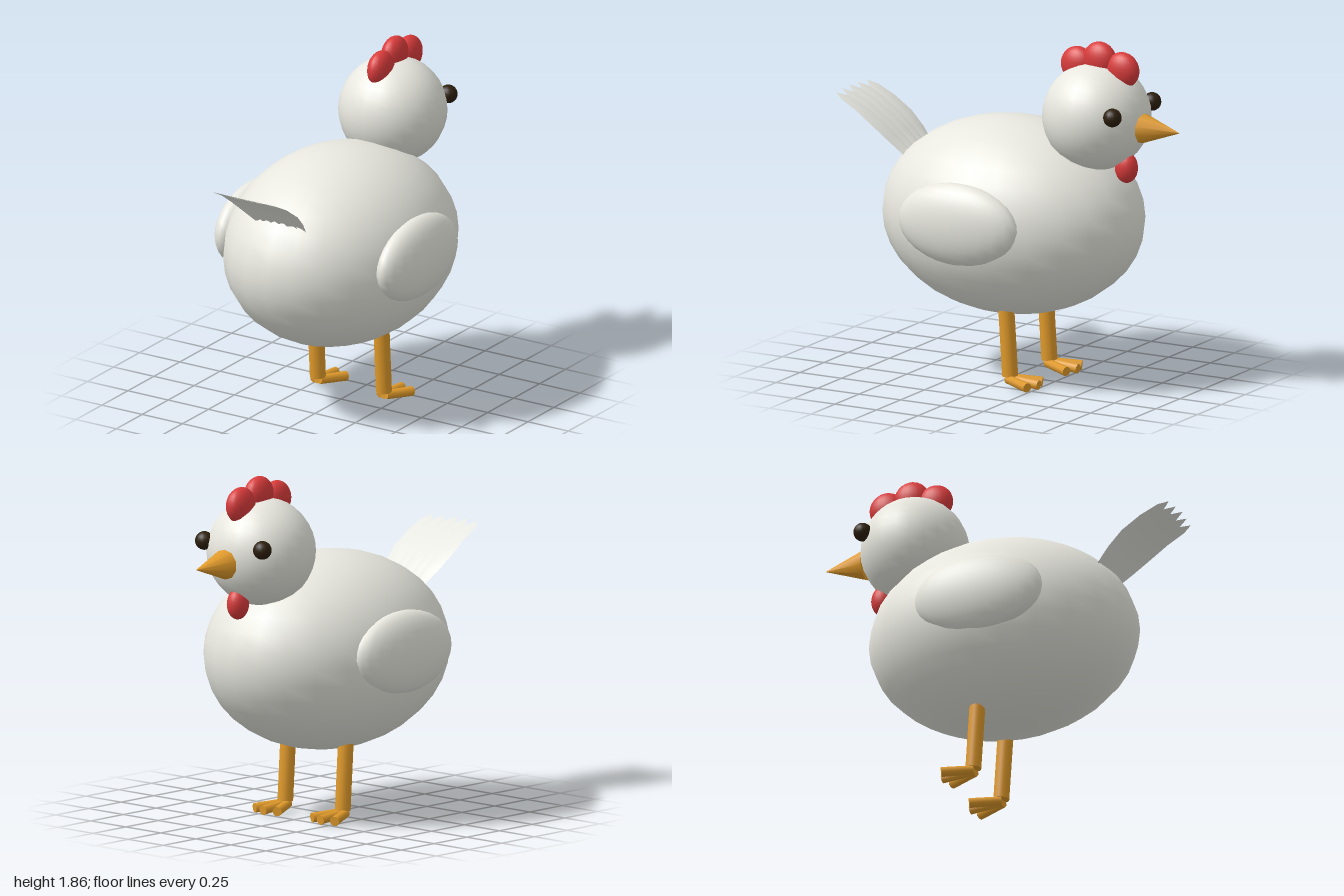
import * as THREE from 'three';

const mat = (name, color, side = THREE.FrontSide) => {
  const m = new THREE.MeshStandardMaterial({ color, side });
  m.name = name;
  return m;
};

export function createModel() {
  const white = mat('feather white', 0xe8e8e0);
  const tailWhite = mat('tail white', 0xe8e8e2, THREE.DoubleSide);
  const red = mat('comb red', 0xd93b3b);
  const orange = mat('beak orange', 0xe09a2a);
  const dark = mat('eye brown', 0x2c1e0c);

  const model = new THREE.Group();
  model.name = 'chicken';

  const add = (name, geometry, material) => {
    const mesh = new THREE.Mesh(geometry, material);
    mesh.name = name;
    model.add(mesh);
    return mesh;
  };
  const ellipsoid = (name, material, [x, y, z], [rx, ry, rz], w = 20, h = 14) => {
    const mesh = add(name, new THREE.SphereGeometry(1, w, h), material);
    mesh.position.set(x, y, z);
    mesh.scale.set(rx, ry, rz);
    return mesh;
  };
  // tapered round bar between two points
  const bar = (name, a, b, ra, rb, sides) => {
    const from = new THREE.Vector3(...a), to = new THREE.Vector3(...b);
    const dir = to.clone().sub(from);
    const mesh = add(name, new THREE.CylinderGeometry(rb, ra, dir.length(), sides), orange);
    mesh.position.copy(from).add(to).multiplyScalar(0.5);
    mesh.quaternion.setFromUnitVectors(new THREE.Vector3(0, 1, 0), dir.normalize());
  };

  // body and head, facing -z
  ellipsoid('body', white, [0, 0.88, 0], [0.565, 0.522, 0.727], 24, 18);
  ellipsoid('head', white, [0, 1.468, -0.5], [0.286, 0.286, 0.286], 24, 18);

  // comb and wattle
  for (const [y, z] of [[1.73, -0.385], [1.77, -0.518], [1.73, -0.655]])
    ellipsoid('comb', red, [0, y, z], [0.06, 0.096, 0.096]);
  ellipsoid('wattle', red, [0, 1.21, -0.678], [0.055, 0.082, 0.063]);

  // beak
  bar('beak', [0, 1.433, -0.775], [0, 1.433, -1], 0.081, 0, 10);

  for (const s of [-1, 1]) {
    ellipsoid('eye', dark, [s * 0.207, 1.525, -0.713], [0.049, 0.049, 0.049], 16, 12);
    ellipsoid('wing', white, [s * 0.5, 0.92, 0.045], [0.115, 0.22, 0.355], 24, 16);

    // leg with three splayed toes
    bar('leg', [s * 0.205, 0.46, -0.07], [s * 0.205, 0.062, -0.096], 0.042, 0.042, 12);
    for (const t of [-1, 0, 1])
      bar('toe', [s * 0.205 + t * 0.015, 0.047, -0.09],
        [s * 0.205 + t * 0.08, 0.032, t ? -0.245 : -0.268], 0.024, 0.026, 8);
  }

  // tail: five overlapping, upswept leaf-shaped feathers
  const widths = [[-0.2, 0.035], [0, 0.052], [0.2, 0.074], [0.4, 0.08], [0.65, 0.062], [0.88, 0.04], [1, 0.001]];
  for (let i = -2; i <= 2; i++) {
    const pos = [], index = [];
    widths.forEach(([t, w], r) => {
      const centre = i * (0.05 + 0.03 * Math.max(t, 0));
      for (let k = 0; k < 5; k++) {
        const u = k / 2 - 1;
        const bow = t > 0 ? 0.035 * Math.sin(Math.PI * t) : 0;
        pos.push(centre + u * w,
          1.17 + 0.278 * t + bow - 0.016 * u * u * (1 - t) - 0.003 * Math.abs(i),
          0.57 + (0.424 - 0.008 * Math.abs(i)) * t);
        if (r && k) {
          const d = r * 5 + k, c = d - 1, b = d - 5, a = b - 1;
          index.push(a, c, b, b, c, d);
        }
      }
    });
    const g = new THREE.BufferGeometry();
    g.setAttribute('position', new THREE.Float32BufferAttribute(pos, 3));
    g.setIndex(index);
    g.computeVertexNormals();
    add('tailFeather', g, tailWhite);
  }

  return model;
}
